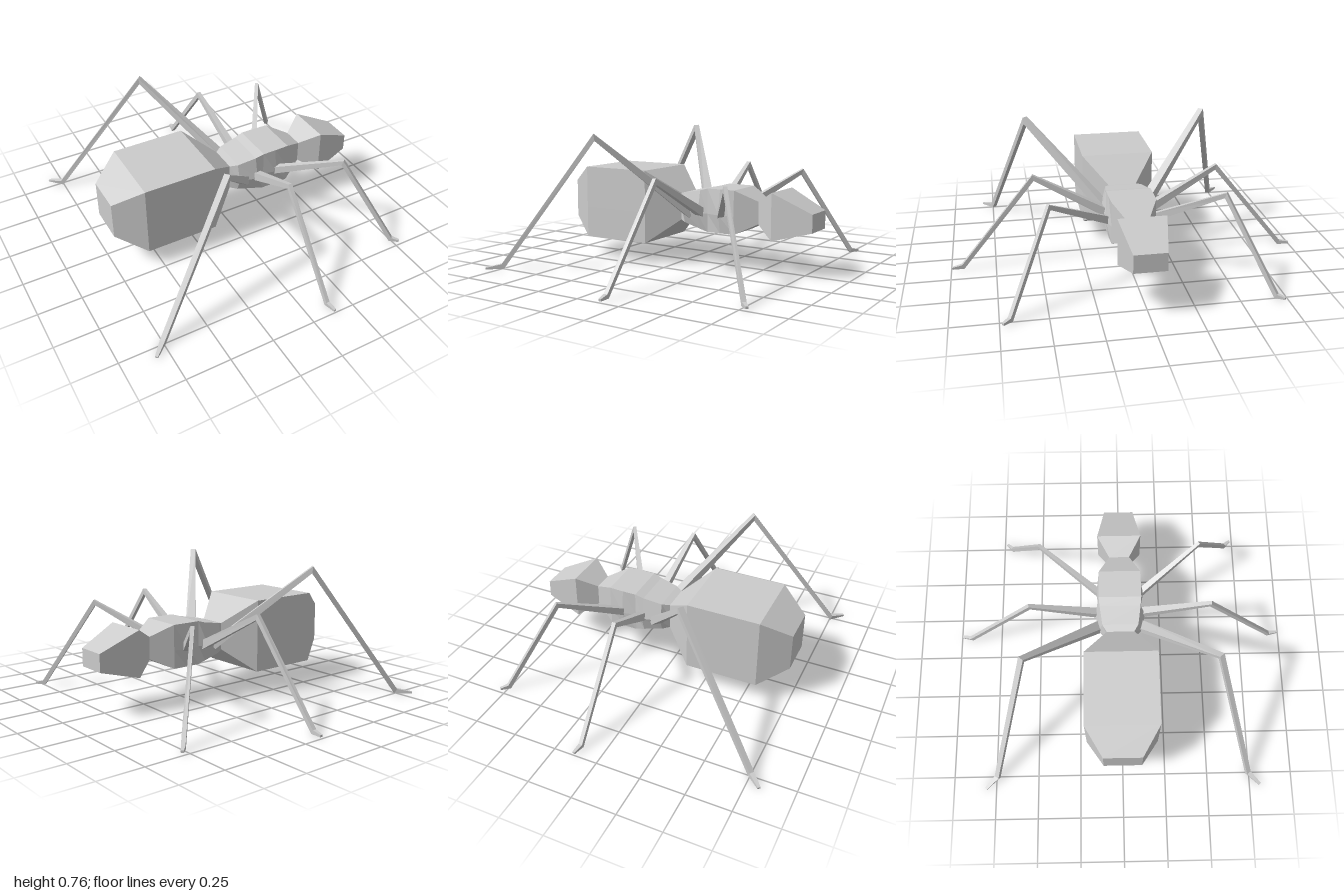
import * as THREE from 'three';

const material = new THREE.MeshStandardMaterial({ color: 0xcccccc, flatShading: true });

// Skin a list of equal-sized rings (counter-clockwise about the direction of travel) and cap both ends
function loft(name, rings) {
  const pos = [];
  const tri = (...pts) => pts.forEach((p) => pos.push(p.x, p.y, p.z));
  const n = rings[0].length;
  for (let r = 0; r < rings.length - 1; r++) {
    for (let i = 0; i < n; i++) {
      const j = (i + 1) % n;
      const a = rings[r][i], b = rings[r][j], c = rings[r + 1][j], d = rings[r + 1][i];
      tri(a, b, c);
      tri(a, c, d);
    }
  }
  const first = rings[0], last = rings[rings.length - 1];
  for (let i = 1; i < n - 1; i++) {
    tri(first[0], first[i + 1], first[i]);
    tri(last[0], last[i], last[i + 1]);
  }
  const geo = new THREE.BufferGeometry();
  geo.setAttribute('position', new THREE.Float32BufferAttribute(pos, 3));
  geo.computeVertexNormals();
  const mesh = new THREE.Mesh(geo, material);
  mesh.name = name;
  return mesh;
}

// Body ring at x: bottom and top heights, half width, and half width of the bulging flank
function bodyRing([x, bottom, top, w, flank = w]) {
  const mid = bottom + (top - bottom) * 0.42;
  return [[-flank, mid], [-w, top], [w, top], [flank, mid], [w, bottom], [-w, bottom]]
    .map(([z, y]) => new THREE.Vector3(x, y, z));
}

// Square-section leg through joints [x, y, z, half width, half height], mitred at each bend
function leg(name, joints, side) {
  const pts = joints.map(([x, y, z]) => new THREE.Vector3(x, y, z * side));
  const dirs = pts.slice(1).map((p, i) => p.clone().sub(pts[i]).normalize());
  const up = new THREE.Vector3(0, 1, 0);
  const rings = pts.map((p, i) => {
    const before = dirs[Math.max(i - 1, 0)], after = dirs[Math.min(i, dirs.length - 1)];
    const t = before.clone().add(after).normalize();
    const across = up.clone().cross(t).normalize();
    const normal = t.clone().cross(across);
    const [, , , w, h] = joints[i];
    const miter = h / t.dot(before);
    return [[1, 1], [-1, 1], [-1, -1], [1, -1]].map(([a, b]) =>
      p.clone().addScaledVector(across, a * w).addScaledVector(normal, b * miter));
  });
  return loft(name, rings);
}

export function createModel() {
  const model = new THREE.Group();
  model.name = 'ant';

  // Body, from rear to front
  const waist = [0.01, 0.255, 0.41, 0.08];
  const neck = [0.495, 0.27, 0.395, 0.06];
  const body = {
    abdomen: [
      [-0.735, 0.22, 0.44, 0.11],
      [-0.575, 0.12, 0.54, 0.21],
      [-0.155, 0.12, 0.54, 0.21],
      waist,
    ],
    thorax: [
      waist,
      [0.05, 0.247, 0.42, 0.105, 0.13],
      [0.16, 0.222, 0.44, 0.12, 0.148],
      [0.21, 0.21, 0.455, 0.125, 0.125],
      [0.29, 0.21, 0.455, 0.125, 0.142],
      [0.375, 0.21, 0.455, 0.122],
      neck,
    ],
    head: [
      neck,
      [0.605, 0.2, 0.46, 0.13],
      [0.822, 0.257, 0.357, 0.088],
    ],
  };
  for (const [name, sections] of Object.entries(body)) {
    model.add(loft(name, sections.map(bodyRing)));
  }

  // Legs: hip, knee, ankle, toe
  const legs = {
    hindLeg: [
      [0.09, 0.3, 0.11, 0.03, 0.024],
      [-0.26, 0.745, 0.53, 0.016, 0.013],
      [-0.752, 0.018, 0.745, 0.014, 0.013],
      [-0.82, 0.009, 0.812, 0.008, 0.005],
    ],
    middleLeg: [
      [0.168, 0.31, 0.11, 0.023, 0.024],
      [0.127, 0.53, 0.52, 0.011, 0.013],
      [0.127, 0.02, 0.935, 0.011, 0.012],
      [0.137, 0.017, 0.996, 0.007, 0.006],
    ],
    frontLeg: [
      [0.285, 0.31, 0.11, 0.019, 0.022],
      [0.515, 0.512, 0.468, 0.01, 0.012],
      [0.747, 0.018, 0.695, 0.011, 0.012],
      [0.782, 0.015, 0.733, 0.007, 0.006],
    ],
  };
  for (const [name, joints] of Object.entries(legs)) {
    model.add(leg(name + 'FrontSide', joints, 1), leg(name + 'BackSide', joints, -1));
  }
  return model;
}
